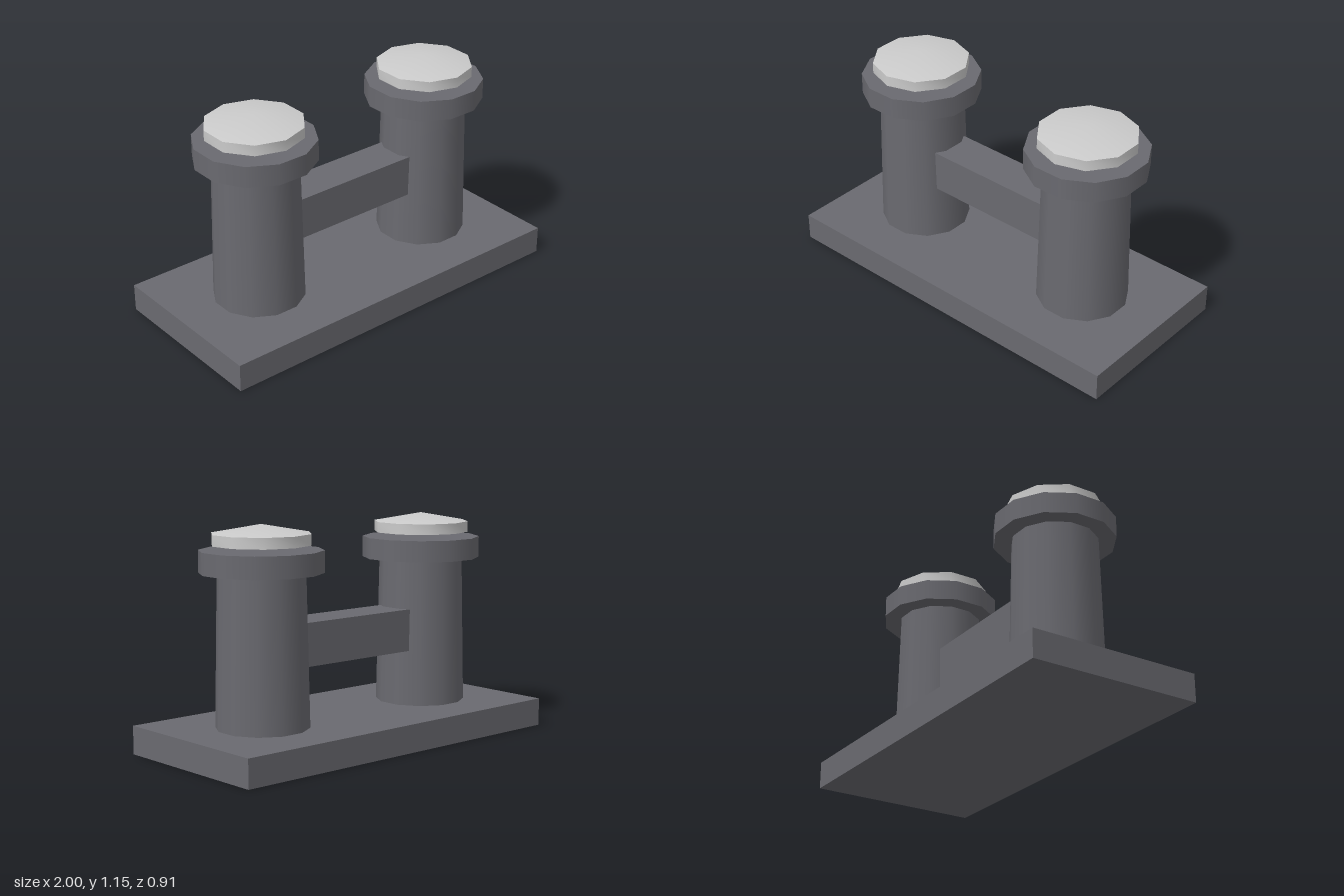
import * as THREE from 'three';
import { toCreasedNormals } from 'three/addons/utils/BufferGeometryUtils.js';

const iron = new THREE.MeshStandardMaterial({ color: 0x6a6a70 });
const pale = new THREE.MeshStandardMaterial({ color: 0xcccccc });

function part(name, geometry, material, y) {
  const mesh = new THREE.Mesh(geometry, material);
  mesh.name = name;
  mesh.position.y = y;
  return mesh;
}

// Twelve-sided drum turned half a facet so flat sides face x and z
function drum(topRadius, bottomRadius, height) {
  return new THREE.CylinderGeometry(topRadius, bottomRadius, height, 12).rotateY(Math.PI / 12);
}

// Ten-sided cap: shallow underside, short rim, low cone on top
function capGeometry() {
  const profile = [[0, -0.007], [0.25, 0], [0.25, 0.055], [0, 0.1]]
    .map(([r, y]) => new THREE.Vector2(r, y));
  return toCreasedNormals(new THREE.LatheGeometry(profile, 10), 0.85);
}

function createPost(name, x) {
  const post = new THREE.Group();
  post.name = name;
  post.position.x = x;
  post.add(
    part('pillar', drum(0.218, 0.235, 0.775), iron, 0.5325),
    part('collar', drum(0.308, 0.308, 0.11), iron, 0.965),
    part('cap', capGeometry(), pale, 1.046)
  );
  return post;
}

export function createModel() {
  const model = new THREE.Group();
  model.name = 'mooringBollard';
  model.add(
    part('basePlate', new THREE.BoxGeometry(2, 0.145, 0.91), iron, 0.0725),
    part('crossBar', new THREE.BoxGeometry(0.9, 0.22, 0.22), iron, 0.545),
    createPost('leftPost', 0.545),
    createPost('rightPost', -0.545)
  );
  return model;
}
